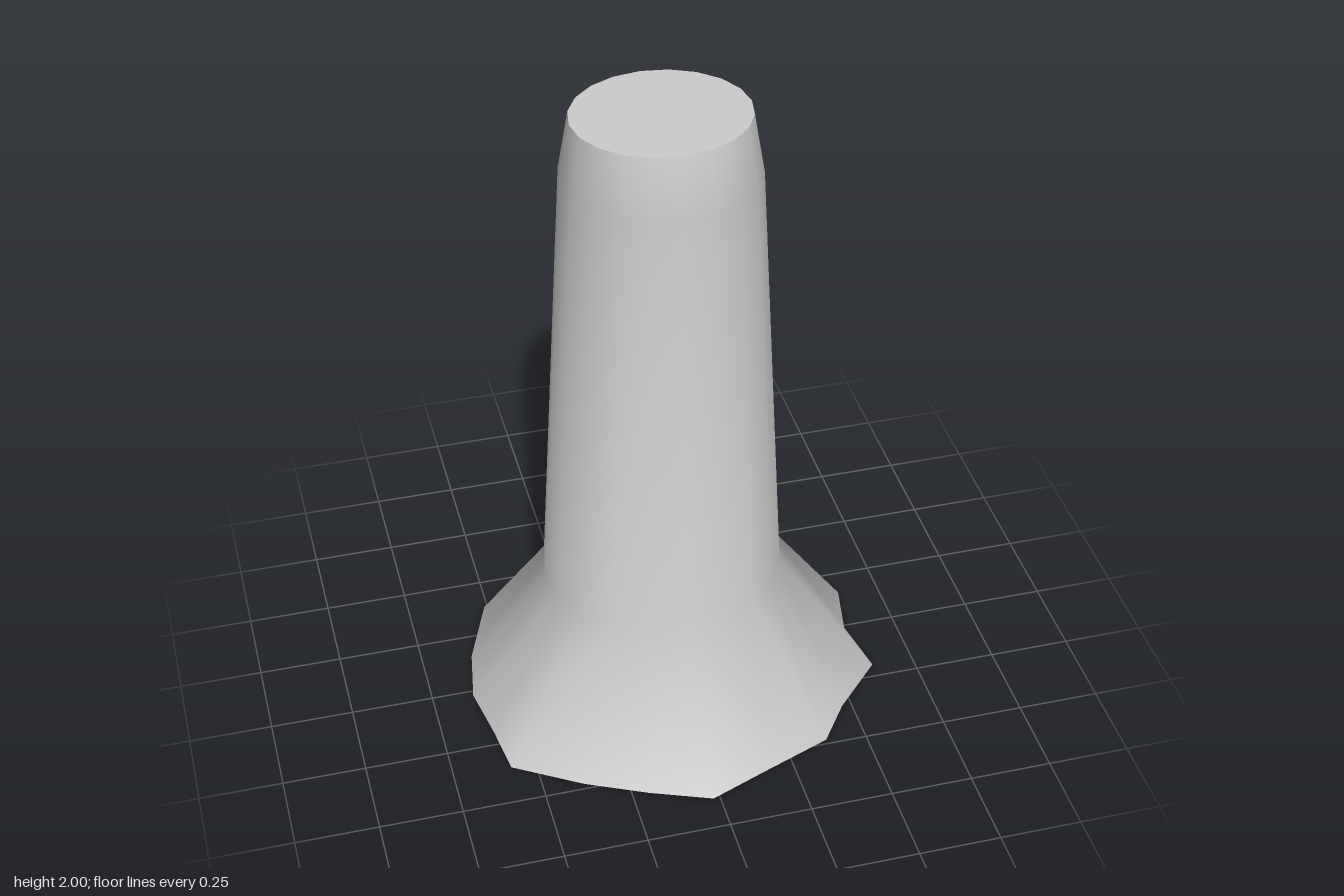
import * as THREE from 'three';

const SIDES = 20;
const CX = -0.02, CZ = 0.02;

// Irregular spread foot, corners in order from the back around by the left
const FOOT = [
  [-0.02, -0.64], [0.168, -0.581], [0.33, -0.45], [0.47, -0.34], [0.62, -0.158],
  [0.585, 0.02], [0.62, 0.198], [0.47, 0.354], [0.378, 0.483], [0.175, 0.56],
  [-0.02, 0.636], [-0.2, 0.565], [-0.378, 0.48], [-0.575, 0.357], [-0.595, 0.198],
  [-0.625, 0.02], [-0.595, -0.158], [-0.51, -0.378], [-0.37, -0.447], [-0.208, -0.527],
];

// Elliptical ring of points at height y
function ring(y, rx, rz) {
  return Array.from({ length: SIDES }, (_, k) => {
    const a = (k / SIDES) * Math.PI * 2;
    return [CX + rx * Math.sin(a), y, CZ - rz * Math.cos(a)];
  });
}

function buildGeometry(points, index) {
  const geometry = new THREE.BufferGeometry();
  geometry.setAttribute('position', new THREE.Float32BufferAttribute(points.flat(), 3));
  geometry.setIndex(index);
  geometry.computeVertexNormals();
  return geometry;
}

// Smooth skin between stacked rings
function loft(rings) {
  const index = [];
  for (let j = 0; j < rings.length - 1; j++) {
    for (let k = 0; k < SIDES; k++) {
      const a = j * SIDES + k, b = j * SIDES + (k + 1) % SIDES;
      const c = a + SIDES, d = b + SIDES;
      index.push(a, c, b, b, c, d);
    }
  }
  return buildGeometry(rings.flat(), index);
}

// Flat fan closing one ring
function cap(points, up) {
  const index = [];
  for (let k = 0; k < SIDES; k++) {
    const n = (k + 1) % SIDES;
    index.push(SIDES, up ? n : k, up ? k : n);
  }
  return buildGeometry([...points, [CX, points[0][1], CZ]], index);
}

export function createModel() {
  const model = new THREE.Group();
  model.name = 'flaredStump';
  const material = new THREE.MeshStandardMaterial({ color: 0xcccccc });
  const add = (name, geometry) => {
    const mesh = new THREE.Mesh(geometry, material);
    mesh.name = name;
    model.add(mesh);
  };

  const rings = [
    FOOT.map(([x, z]) => [x, 0, z]),
    ring(0.43, 0.365, 0.317),
    ring(1.82, 0.285, 0.272),
    ring(2, 0.255, 0.232),
  ];
  add('trunk', loft(rings));
  add('topFace', cap(rings[3], true));
  add('underside', cap(rings[0], false));
  return model;
}
